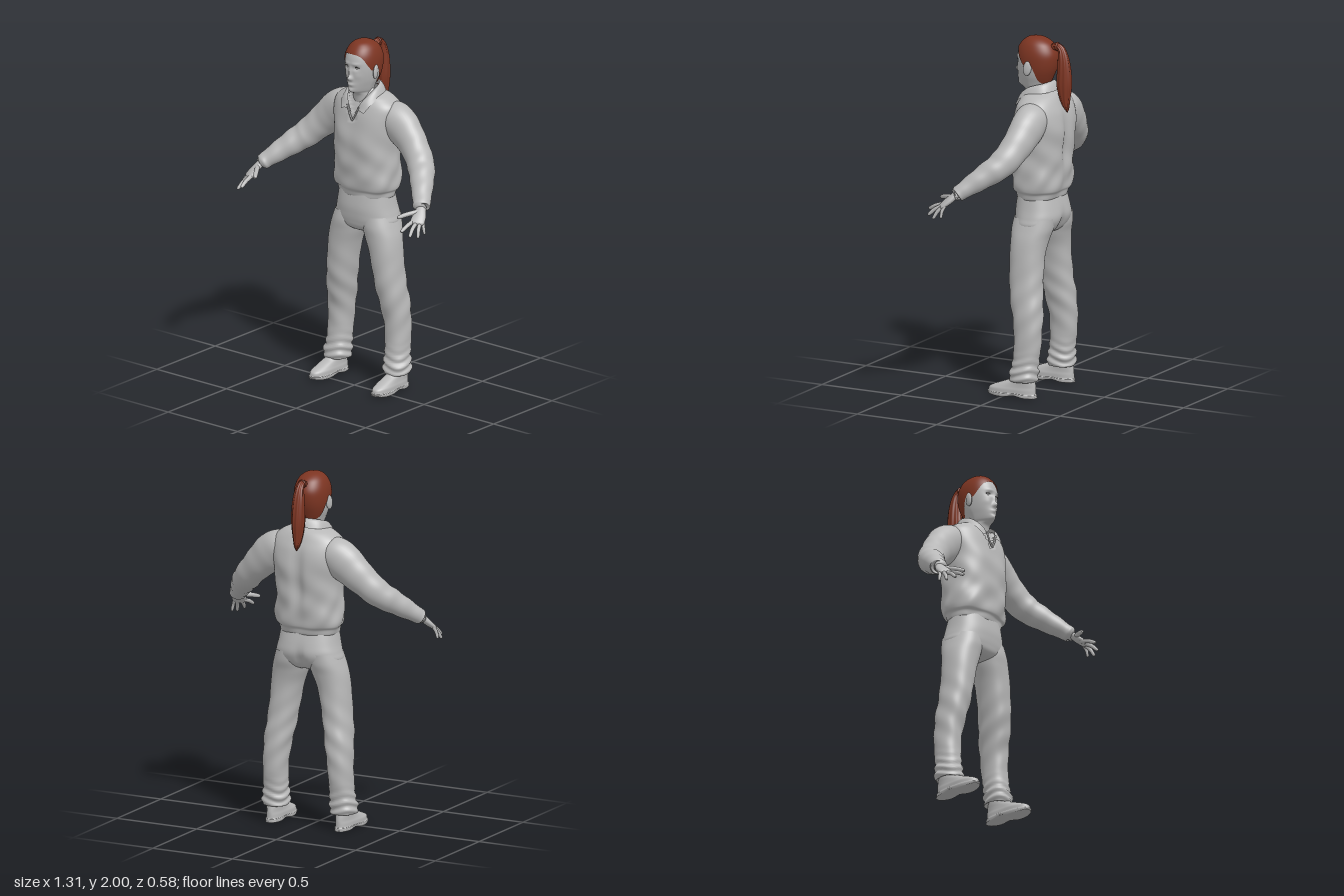
import * as THREE from 'three';

const grey = new THREE.MeshStandardMaterial({ color: 0xb8b8b8 });
grey.name = 'grey';
const greyOpen = grey;
const auburn = new THREE.MeshStandardMaterial({ color: 0x7d3522, side: THREE.DoubleSide });
auburn.name = 'auburn';
const dark = new THREE.MeshStandardMaterial({ color: 0x3a3634 });
dark.name = 'dark';
grey.side = THREE.DoubleSide;

const V = (x, y, z) => new THREE.Vector3(x, y, z);
const bump = (d, s) => Math.exp(-(d * d) / (s * s));
const sgnPow = (c, e) => Math.sign(c) * Math.abs(c) ** e;

// Smooth value between table rows, t in 0..1
function rowAt(rows, t) {
  const f = Math.min(Math.max(t, 0), 1) * (rows.length - 1);
  const i = Math.min(Math.floor(f), rows.length - 2), k = f - i;
  const get = (j) => rows[Math.min(Math.max(j, 0), rows.length - 1)];
  return rows[0].map((_, c) => {
    const [p0, p1, p2, p3] = [get(i - 1)[c], get(i)[c], get(i + 1)[c], get(i + 2)[c]];
    const m1 = (p2 - p0) / 2, m2 = (p3 - p1) / 2;
    return p1 + m1 * k + (3 * (p2 - p1) - 2 * m1 - m2) * k * k + (2 * (p1 - p2) + m1 + m2) * k ** 3;
  });
}

// Surface from fn(u, v); u wraps round when closed
function grid(nu, nv, fn, closed = true) {
  const pos = [], idx = [], cols = closed ? nu : nu + 1;
  for (let j = 0; j <= nv; j++) for (let i = 0; i < cols; i++) pos.push(...fn(i / nu, j / nv).toArray());
  for (let j = 0; j < nv; j++) for (let i = 0; i < nu; i++) {
    const a = j * cols + i, b = j * cols + ((i + 1) % cols), c = a + cols, d = b + cols;
    idx.push(a, c, b, b, c, d);
  }
  const g = new THREE.BufferGeometry();
  g.setAttribute('position', new THREE.Float32BufferAttribute(pos, 3));
  g.setIndex(idx);
  g.computeVertexNormals();
  return g;
}

// Point on a level section: [y, half width, front z, back z, centre x, roundness]
function section([y, hw, front, back, cx = 0, n = 2], a) {
  const w = Math.max(hw, 0);
  return V(cx + w * sgnPow(Math.cos(a), 2 / n), y,
    (front + back) / 2 + ((front - back) / 2) * sgnPow(Math.sin(a), 2 / n));
}
const loft = (rows, nu, nv, warp = (p) => p) =>
  grid(nu, nv, (u, v) => warp(section(rowAt(rows, v), u * Math.PI * 2), u * Math.PI * 2));

// Limb along rows [x, y, z, radius along ref, radius across]
function limb(rows, ref, nu, nv, ripple = () => 1) {
  return grid(nu, nv, (u, v) => {
    const [x, y, z, r1, r2] = rowAt(rows, v), a = u * Math.PI * 2;
    const A = rowAt(rows, v - 0.01), B = rowAt(rows, v + 0.01);
    const T = V(B[0] - A[0], B[1] - A[1], B[2] - A[2]).normalize();
    const S = ref.clone().addScaledVector(T, -ref.dot(T)).normalize();
    const C = S.clone().cross(T), k = ripple(a, v);
    return V(x, y, z).addScaledVector(S, Math.max(r1, 0) * k * Math.cos(a)).addScaledVector(C, Math.max(r2, 0) * k * Math.sin(a));
  });
}

function mirror(g) {
  const m = g.clone().scale(-1, 1, 1), i = m.index.array;
  for (let k = 0; k < i.length; k += 3) [i[k], i[k + 1]] = [i[k + 1], i[k]];
  m.computeVertexNormals();
  return m;
}

// Head and neck sections, neck upwards; the last column narrows the jaw
const headRows = [
  [1.58, .06, -.04, -.16, 0], [1.64, .058, -.026, -.158, 0], [1.69, .056, -.015, -.152, 0],
  [1.708, .056, .008, -.15, .3], [1.722, .06, .032, -.15, .42], [1.745, .068, .037, -.155, .34],
  [1.78, .08, .035, -.17, .18], [1.82, .088, .034, -.186, .06], [1.86, .091, .035, -.195, 0],
  [1.9, .09, .033, -.196, 0], [1.935, .082, .022, -.183, 0], [1.965, .066, .0, -.16, 0],
  [1.987, .038, -.03, -.12, 0], [1.994, 0, -.075, -.075, 0],
];
// Face relief: [height, x, y, spread x, spread y]
const relief = [
  [.021, 0, 1.803, .012, .014], [.011, 0, 1.835, .009, .025], [.006, .011, 1.797, .007, .008],
  [-.011, .033, 1.86, .016, .011], [.005, .03, 1.885, .024, .008], [.007, 0, 1.765, .02, .007],
  [-.004, 0, 1.747, .02, .006], [.004, .045, 1.815, .02, .02], [.004, 0, 1.728, .015, .01],
];
function headPoint(t, a) {
  const [y, hw, f, b, pinch] = rowAt(headRows, t), s = Math.max(Math.sin(a), 0);
  const p = section([y, hw, f, b, 0, 2.1], a);
  p.x *= 1 - pinch * s;
  for (const [h, x, y0, sx, sy] of relief) p.z += s * h * bump(Math.abs(p.x) - x, sx) * bump(y - y0, sy);
  return p;
}

// Hairline height, nape to forehead
const hairline = [[1.745], [1.75], [1.77], [1.815], [1.86], [1.845], [1.875], [1.918], [1.936]];
function hairPoint(u, v) {
  const a = u * Math.PI * 2, y = rowAt(hairline, (Math.sin(a) + 1) / 2)[0];
  let lo = 0, hi = 1;
  for (let i = 0; i < 24; i++) { const m = (lo + hi) / 2; if (rowAt(headRows, m)[0] < y) lo = m; else hi = m; }
  const p = headPoint(lo + (1 - lo) * v, a), c = V(0, 1.87, -.08);
  return p.add(p.clone().sub(c).setLength(.006));
}

// Shirt: spine groove, open neck and soft folds
function shirtWarp(p, a) {
  const s = Math.sin(a), x = Math.abs(p.x);
  if (s < 0) p.z += .022 * bump(x, .035) * bump(p.y - 1.42, .2) * -s;
  else {
    if (p.y > 1.55 && x < (p.y - 1.55) * .6) p.z -= .015;
    p.z += .007 * bump(x - .09, .06) * bump(p.y - 1.45, .08);
  }
  const low = bump(p.y - 1.2, .11);
  const f = .005 * low * Math.sin(7 * a + p.y * 30) + .003 * Math.sin(4 * a - p.y * 38) * bump(p.y - 1.35, .2);
  p.x += f * Math.cos(a); p.z += f * s;
  return p;
}

function legWarp(p, a) {
  const f = .006 * bump(p.y - .15, .07) * Math.sin(p.y * 130 + 2 * Math.sin(a * 2)) +
    .003 * bump(p.y - .5, .2) * Math.sin(p.y * 45 + a * 3);
  p.x += f * Math.cos(a); p.z += f * Math.sin(a);
  return p;
}

export function createModel() {
  const model = new THREE.Group();
  const add = (name, geo, mat = grey, parent = model) => {
    const m = new THREE.Mesh(geo, mat);
    m.name = name;
    parent.add(m);
  };
  const pair = (name, geo, mat) => { add('left' + name, geo, mat); add('right' + name, mirror(geo), mat); };

  // Head, ears, eyes and hair
  add('headAndNeck', grid(112, 100, (u, v) => headPoint(v, u * Math.PI * 2)));
  pair('Ear', new THREE.SphereGeometry(1, 16, 12).scale(.011, .042, .024).rotateX(-.15).rotateY(.25).translate(.096, 1.832, -.068));
  pair('Eye', new THREE.SphereGeometry(.012, 16, 12).translate(.033, 1.859, .009));
  const lash = new THREE.CatmullRomCurve3([V(.017, 1.863, .024), V(.033, 1.868, .0235), V(.05, 1.863, .016)]);
  pair('Lashes', new THREE.TubeGeometry(lash, 10, .002, 6), dark);
  add('hairCap', grid(80, 36, hairPoint), auburn);
  add('ponytail', limb([
    [0, 1.94, -.17, .02, .02], [0, 1.955, -.2, .018, .018], [0, 1.94, -.228, .022, .02], [0, 1.89, -.242, .03, .03],
    [0, 1.82, -.247, .035, .039], [0, 1.74, -.248, .035, .043], [0, 1.66, -.254, .026, .029], [0, 1.61, -.264, .014, .014],
    [0, 1.585, -.268, 0, 0],
  ], V(1, 0, 0), 60, 48, (a, v) => 1 + .06 * Math.sin(9 * a + v * 6)), auburn);
  add('hairTie', new THREE.TorusGeometry(.019, .006, 8, 20).translate(0, 1.953, -.205), auburn);

  // Shirt body with gathered hem
  add('shirt', loft([
    [1.11, .15, -.01, -.21, 0, 2.3], [1.105, .168, .005, -.228, 0, 2.3], [1.135, .176, .012, -.238, 0, 2.3],
    [1.155, .19, .024, -.25, 0, 2.4], [1.2, .196, .031, -.257, 0, 2.4], [1.3, .189, .037, -.264, 0, 2.4],
    [1.4, .19, .037, -.27, 0, 2.4], [1.5, .198, .026, -.275, 0, 2.5], [1.58, .208, .012, -.262, 0, 2.5],
    [1.635, .2, -.005, -.24, 0, 2.4], [1.675, .155, -.022, -.218, 0, 2.2], [1.7, .1, -.03, -.19, 0, 2],
    [1.725, .068, -.03, -.165, 0, 2],
  ], 96, 90, shirtWarp));

  // Folded collar: inner standing edge to outer falling edge
  const both = (pts) => new THREE.CatmullRomCurve3([
    ...pts.map((p) => V(...p)), ...pts.slice(0, -1).reverse().map(([x, y, z]) => V(-x, y, z))]);
  const inner = both([[.012, 1.595, .012], [.05, 1.665, -.005], [.078, 1.72, -.065], [.062, 1.745, -.14], [0, 1.752, -.168]]);
  const outer = both([[.08, 1.605, .02], [.103, 1.648, -.012], [.112, 1.69, -.085], [.085, 1.7, -.17], [0, 1.705, -.203]]);
  add('collar', grid(48, 6, (u, v) => {
    const p = inner.getPoint(u).lerp(outer.getPoint(u), v);
    p.y += .014 * Math.sin(v * Math.PI);
    return p;
  }, false), greyOpen);
  const edge = new THREE.CatmullRomCurve3([V(.04, 1.635, .012), V(.022, 1.59, .016), V(0, 1.55, .02)]);
  pair('NeckOpeningEdge', new THREE.TubeGeometry(edge, 12, .005, 8));

  // Sleeves
  pair('Sleeve', limb([
    [.1, 1.585, -.135, .05, .06], [.16, 1.57, -.138, .095, .09], [.22, 1.53, -.138, .108, .09], [.28, 1.48, -.132, .098, .083],
    [.345, 1.42, -.115, .085, .078], [.41, 1.355, -.08, .077, .077], [.46, 1.31, -.03, .069, .07],
    [.51, 1.262, .03, .058, .06], [.555, 1.218, .085, .046, .05], [.572, 1.2, .107, .042, .048], [.574, 1.198, .109, .025, .025],
  ], V(0, 1, 0), 40, 70, (a, v) => 1 + .025 * bump(v - .6, .3) * Math.sin(v * 55 + 2 * Math.sin(a))));

  // Hands: palm, four spread fingers and thumb
  const across = V(-.8, .1, .45).normalize();
  pair('Palm', limb([
    [.562, 1.212, .092, .02, .018], [.578, 1.193, .118, .027, .02], [.592, 1.165, .148, .037, .019],
    [.603, 1.138, .18, .04, .015], [.608, 1.128, .19, .034, .011], [.61, 1.125, .194, 0, 0]], across, 24, 20));
  const finger = (name, a, b, c, r) => pair(name, limb([
    [...a, r, r], [...b, r, r], [...a.map((_, i) => (b[i] + 3 * c[i]) / 4), r * .85, r * .85],
    [...c, r * .5, r * .5], [...c, 0, 0]], across, 12, 18));
  finger('IndexFinger', [.58, 1.142, .18], [.578, 1.125, .237], [.573, 1.1, .285], .0115);
  finger('MiddleFinger', [.597, 1.138, .175], [.607, 1.112, .225], [.618, 1.075, .265], .0115);
  finger('RingFinger', [.614, 1.136, .168], [.628, 1.105, .2], [.642, 1.063, .222], .011);
  finger('LittleFinger', [.625, 1.138, .157], [.637, 1.11, .168], [.647, 1.073, .17], .0095);
  finger('Thumb', [.578, 1.183, .14], [.542, 1.172, .195], [.512, 1.158, .242], .0135);

  // Trousers
  add('trouserHips', loft([
    [.885, 0, -.1, -.11, 0, 2], [.9, .09, -.03, -.18, 0, 2], [.925, .16, .0, -.215, 0, 2.2], [.96, .197, .01, -.238, 0, 2.3],
    [1.0, .19, .015, -.25, 0, 2.3], [1.05, .178, .016, -.243, 0, 2.3], [1.13, .165, .005, -.222, 0, 2.3],
  ], 64, 40, (p, a) => {
    if (Math.sin(a) < 0) p.z += .02 * bump(p.x, .025) * bump(p.y - .95, .07);
    return p;
  }));
  pair('TrouserLeg', loft([
    [.11, .055, -.05, -.165, .213], [.095, .07, -.038, -.187, .213], [.13, .076, -.034, -.192, .213],
    [.2, .069, -.048, -.195, .208], [.3, .068, -.054, -.208, .205], [.4, .072, -.05, -.212, .199],
    [.5, .078, -.03, -.21, .188], [.6, .081, -.012, -.2, .174], [.7, .084, -.004, -.196, .16], [.8, .091, .0, -.197, .145],
    [.88, .1, .004, -.21, .124], [.94, .098, .008, -.228, .108], [1.0, .085, .0, -.235, .1],
  ].map((r) => [...r, 2.2]), 48, 90, legWarp));

  // Shoes with raised instep and arch
  const shoe = loft([
    [0, 0, -.05, -.05, 0, 2.4], [0, .046, .09, -.182, 0, 2.4], [.008, .055, .102, -.19, 0, 2.4], [.02, .056, .105, -.191, 0, 2.4],
    [.025, .051, .1, -.187, 0, 2.4], [.045, .051, .095, -.187, 0, 2.3], [.06, .048, .068, -.187, 0, 2.2],
    [.078, .046, .02, -.185, 0, 2.2], [.1, .046, -.03, -.182, 0, 2], [.14, .045, -.05, -.178, 0, 2],
  ], 48, 40, (p) => {
    if (p.y < .03) p.y += (.012 * bump(p.z + .07, .035) + .01 * bump(p.z - .11, .04)) * (1 - p.y / .03);
    p.x *= 1 - .12 * bump(p.z + .07, .06) - .08 * bump(p.z + .19, .06);
    return p;
  });
  pair('Shoe', shoe.rotateY(.03).translate(.221, 0, 0));
  return model;
}
